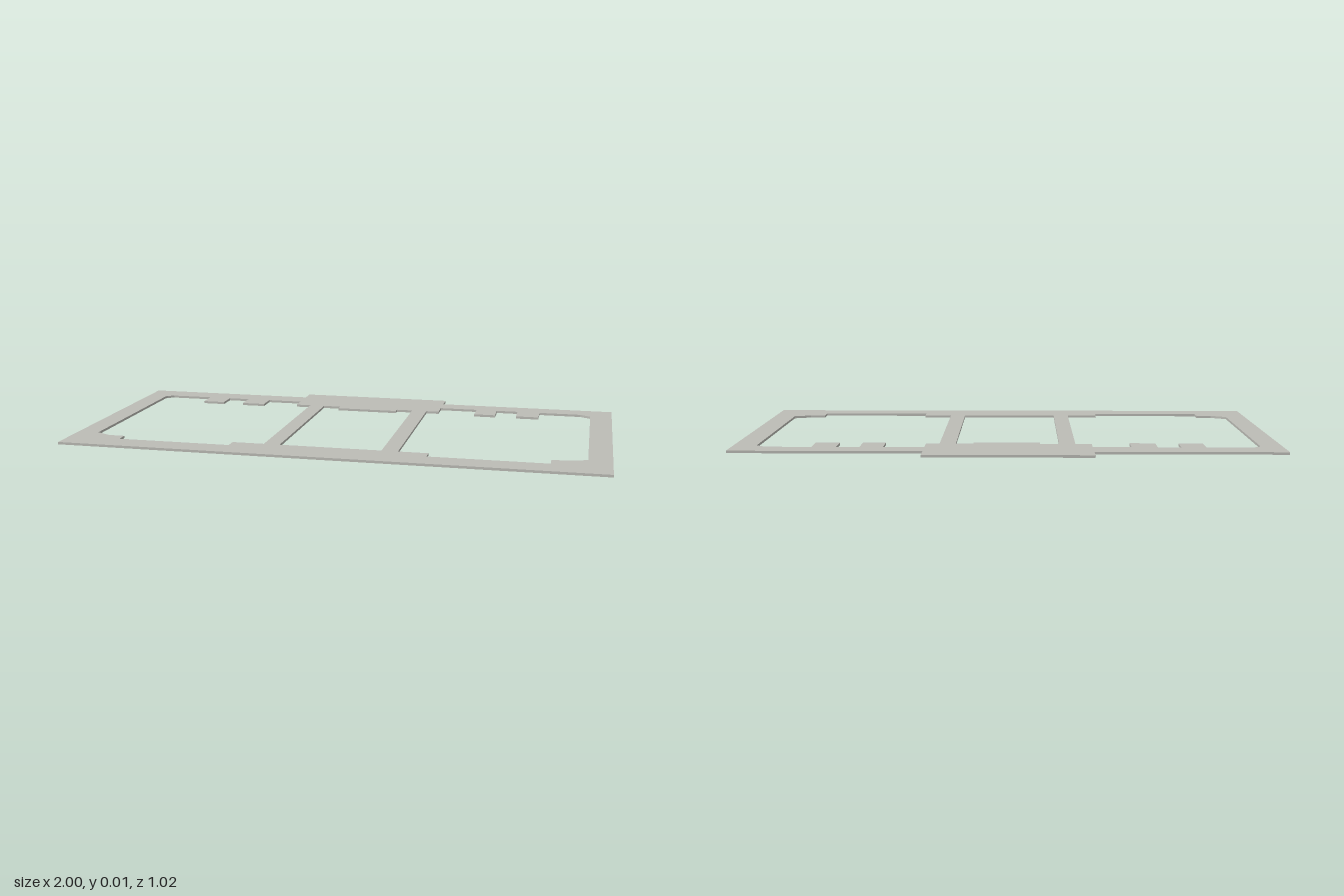
import * as THREE from 'three';

const THICKNESS = 0.009;

// Plan coordinates are [x, z]; shapes are drawn with y = -z and laid flat later.
const toPoints = (plan) => plan.map(([x, z]) => new THREE.Vector2(x, -z));

// Outer edge, with the raised tab at the back
const outline = [
  [-1, 0.51], [1, 0.51], [1, -0.443], [0.3, -0.443],
  [0.3, -0.513], [-0.31, -0.513], [-0.31, -0.45], [-1, -0.45],
];

// Left opening: notched teeth at the back, clipped corners
const leftOpening = [
  [-0.92, -0.33], [-0.915, -0.345], [-0.89, -0.36], [-0.72, -0.36], [-0.72, -0.28], [-0.63, -0.28],
  [-0.63, -0.36], [-0.545, -0.36], [-0.545, -0.28], [-0.45, -0.28], [-0.45, -0.36],
  [-0.31, -0.36], [-0.31, -0.3], [-0.25, -0.3], [-0.25, 0.37], [-0.37, 0.37],
  [-0.37, 0.415], [-0.8, 0.415], [-0.8, 0.37], [-0.86, 0.37], [-0.92, 0.34],
];

// Middle opening between the two bars
const middleOpening = [
  [-0.19, -0.3], [-0.12, -0.3], [-0.12, -0.27], [0.125, -0.27],
  [0.125, -0.295], [0.19, -0.295], [0.19, 0.37], [-0.19, 0.37],
];

// Right opening: close to the left one mirrored, with small offsets
const rightOpening = [
  [0.25, -0.295], [0.3, -0.295], [0.3, -0.365], [0.45, -0.365], [0.45, -0.28], [0.535, -0.28],
  [0.535, -0.365], [0.62, -0.365], [0.62, -0.28], [0.71, -0.28], [0.71, -0.365],
  [0.875, -0.365], [0.915, -0.34], [0.915, 0.34], [0.85, 0.362], [0.79, 0.365],
  [0.79, 0.415], [0.36, 0.415], [0.36, 0.37], [0.25, 0.37],
];

export function createModel() {
  const group = new THREE.Group();
  group.name = 'flatFrame';

  const greyMetal = new THREE.MeshStandardMaterial({ color: 0xbcbcb6 });
  greyMetal.name = 'warm grey';

  // One flat plate with three cut-outs
  const shape = new THREE.Shape(toPoints(outline));
  for (const opening of [leftOpening, middleOpening, rightOpening]) {
    shape.holes.push(new THREE.Path(toPoints(opening)));
  }
  const geometry = new THREE.ExtrudeGeometry(shape, { depth: THICKNESS, bevelEnabled: false });
  geometry.rotateX(-Math.PI / 2);

  const plate = new THREE.Mesh(geometry, greyMetal);
  plate.name = 'framePlate';
  group.add(plate);
  return group;
}
